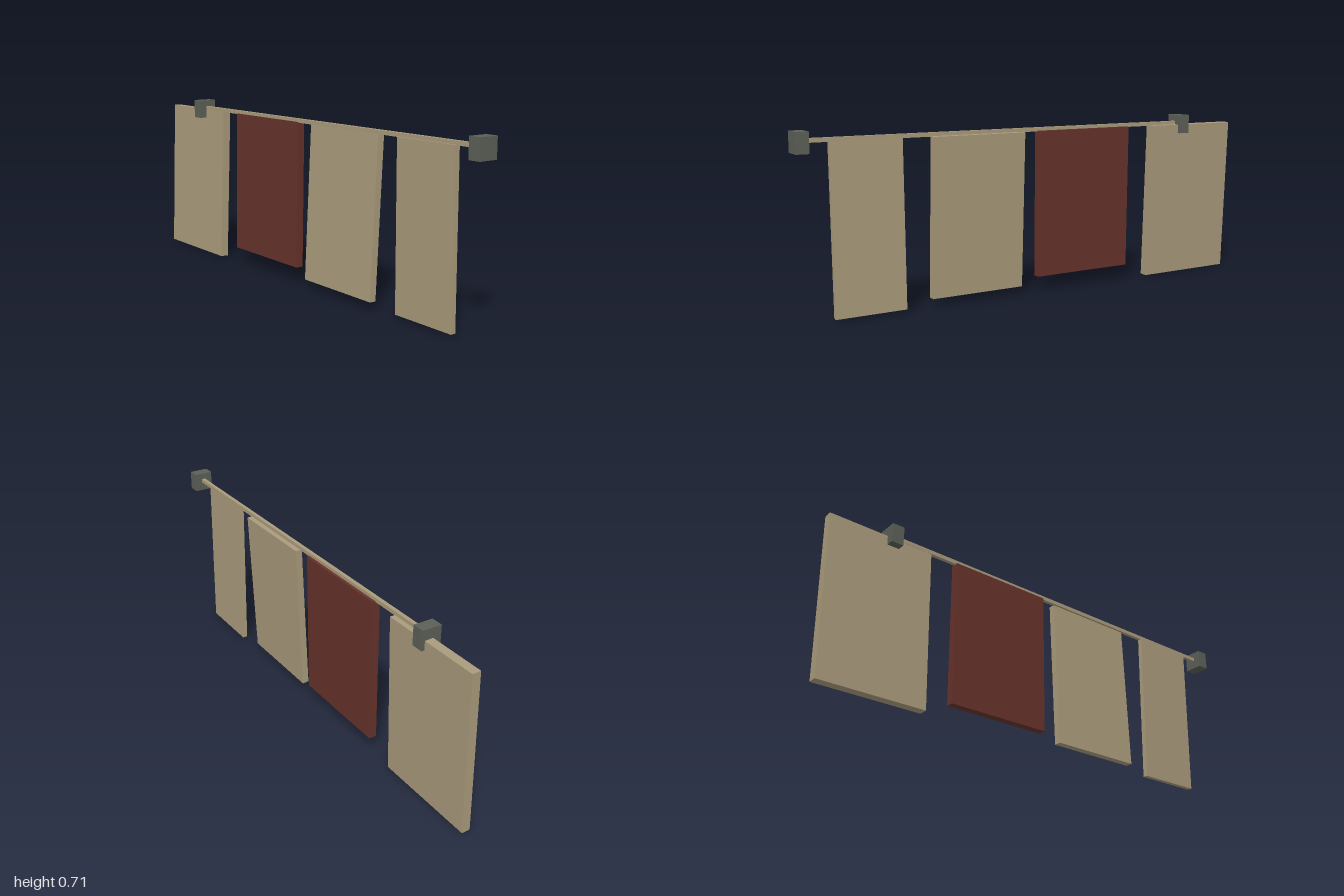
import * as THREE from 'three';

const cloth = new THREE.MeshStandardMaterial({ name: 'beige cloth', color: 0xa99a7b });
const redCloth = new THREE.MeshStandardMaterial({ name: 'dark red cloth', color: 0x66322a });
const iron = new THREE.MeshStandardMaterial({ name: 'grey iron', color: 0x5c5f57 });

function box(name, material, size, position) {
  const mesh = new THREE.Mesh(new THREE.BoxGeometry(...size), material);
  mesh.name = name;
  mesh.position.set(...position);
  return mesh;
}

// Slab hanging from the line, swung slightly sideways
function panel(name, material, { z0, z1, y0, y1, thick, bottomX, topX }) {
  const dx = topX - bottomX;
  const dy = y1 - y0 - thick * Math.abs(dx) / (y1 - y0);
  const mesh = box(name, material, [thick, Math.hypot(dx, dy), z1 - z0],
    [(topX + bottomX) / 2, (y0 + y1) / 2, (z0 + z1) / 2]);
  mesh.rotation.z = -Math.atan2(dx, dy);
  return mesh;
}

export function createModel() {
  const group = new THREE.Group();
  group.name = 'hangingLine';

  // Line and its two end blocks
  group.add(box('line', cloth, [0.016, 0.016, 1.7], [0, 0.672, 0.125]));
  group.add(box('frontBlock', iron, [0.08, 0.079, 0.05], [0, 0.667, 0.975]));
  group.add(box('backBlock', iron, [0.08, 0.079, 0.05], [0, 0.667, -0.733]));

  // Hanging cloths, front to back
  group.add(panel('narrowCloth', cloth,
    { z0: 0.585, z1: 0.867, y0: 0.009, y1: 0.666, thick: 0.021, bottomX: 0.0035, topX: -0.0035 }));
  group.add(panel('middleCloth', cloth,
    { z0: 0.07, z1: 0.47, y0: 0.03, y1: 0.666, thick: 0.028, bottomX: -0.015, topX: 0.015 }));
  group.add(panel('redCloth', redCloth,
    { z0: -0.445, z1: 0, y0: 0.064, y1: 0.667, thick: 0.032, bottomX: -0.004, topX: 0.004 }));
  group.add(panel('wideCloth', cloth,
    { z0: -1, z1: -0.562, y0: 0, y1: 0.666, thick: 0.035, bottomX: -0.013, topX: 0.011 }));

  return group;
}
